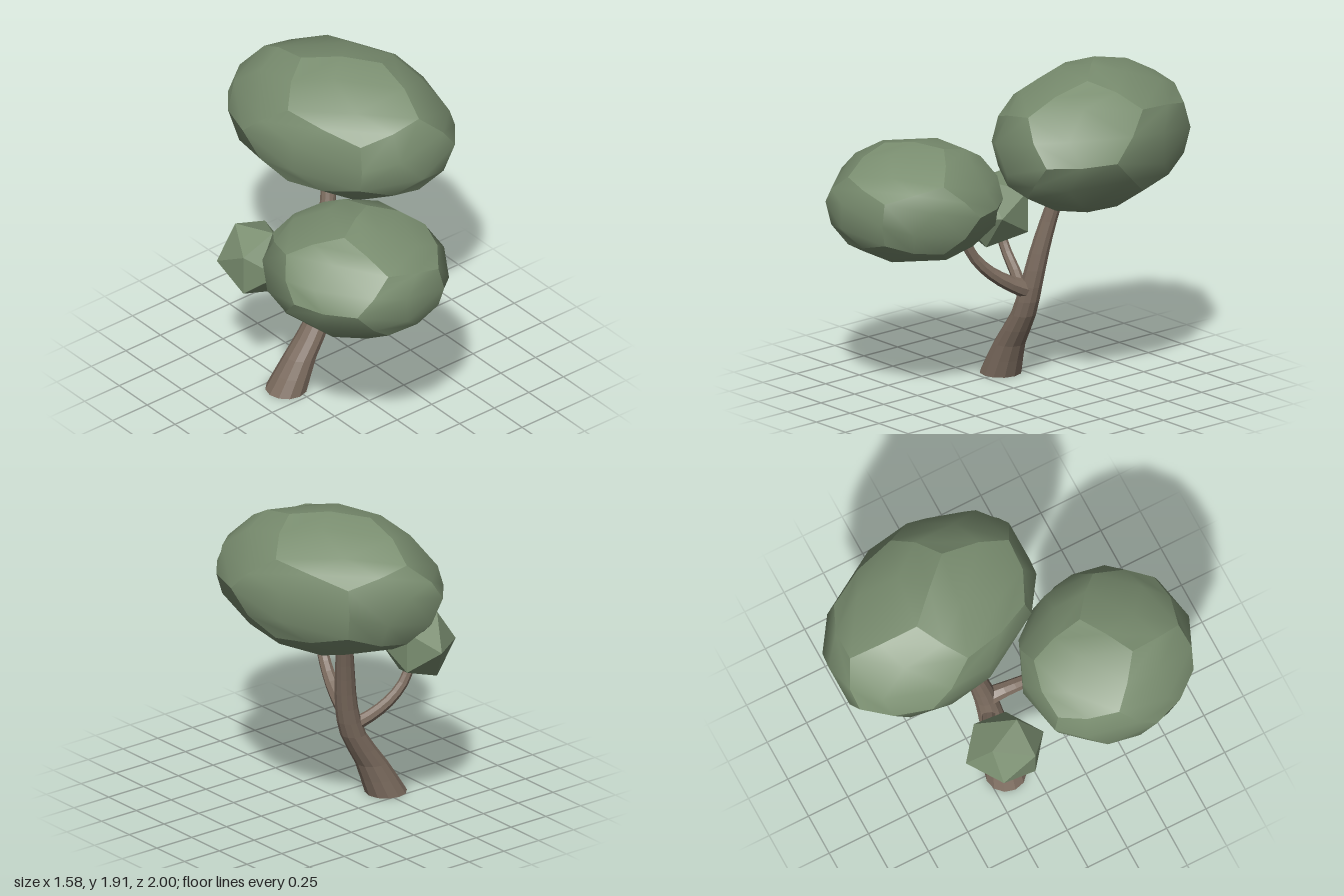
import * as THREE from 'three';
import { mergeGeometries, mergeVertices } from 'three/addons/utils/BufferGeometryUtils.js';

const leaf = new THREE.MeshStandardMaterial({ color: 0x7a8e70 });
const leafFlat = new THREE.MeshStandardMaterial({ color: 0x7a8e70, flatShading: true });
const bark = new THREE.MeshStandardMaterial({ color: 0x7c6c5f, flatShading: true });
const V = (x, y, z) => new THREE.Vector3(x, y, z);

function part(name, geometry, material) {
  const mesh = new THREE.Mesh(geometry, material);
  mesh.name = name;
  return mesh;
}

// Tapered limb: a cylinder bent along points [x, y, z, radius]
function limb(name, points, sides, segments, ref, levelRings = false) {
  const curve = new THREE.CatmullRomCurve3(points.map(([x, y, z]) => V(x, y, z)));
  const radiusAt = (t) => {
    const f = t * (points.length - 1);
    const i = Math.min(Math.floor(f), points.length - 2);
    return THREE.MathUtils.lerp(points[i][3], points[i + 1][3], f - i);
  };
  const geo = new THREE.CylinderGeometry(1, 1, 1, sides, segments);
  const pos = geo.attributes.position;
  for (let i = 0; i < pos.count; i++) {
    const t = THREE.MathUtils.clamp(pos.getY(i) + 0.5, 0, 1);
    const tangent = levelRings ? V(0, 1, 0) : curve.getTangent(t);
    const b = tangent.clone().cross(ref).normalize();
    const n = b.clone().cross(tangent);
    const r = radiusAt(t);
    const p = curve.getPoint(t).addScaledVector(n, pos.getX(i) * r).addScaledVector(b, -pos.getZ(i) * r);
    pos.setXYZ(i, p.x, p.y, p.z);
  }
  geo.computeVertexNormals();
  return part(name, geo, bark);
}

// Turned and stretched blob: [x, z] gives the horizontal axes, height the vertical one
function place(geo, centre, xAxis, height, zAxis) {
  const m = new THREE.Matrix4().makeBasis(V(xAxis[0], 0, xAxis[1]), V(0, height, 0), V(zAxis[0], 0, zAxis[1]));
  return geo.applyMatrix4(m.setPosition(centre));
}

// Rounded dodecahedron, smooth inside each five-sided patch and creased between patches
function crown(name, ...placing) {
  const source = place(new THREE.DodecahedronGeometry(1, 1), ...placing).attributes.position.array;
  const size = source.length / 12;
  const patches = [];
  for (let i = 0; i < 12; i++) {
    let patch = new THREE.BufferGeometry();
    patch.setAttribute('position', new THREE.BufferAttribute(source.slice(i * size, (i + 1) * size), 3));
    patch = mergeVertices(patch, 1e-4);
    patch.computeVertexNormals();
    patches.push(patch);
  }
  return part(name, mergeGeometries(patches), leaf);
}

export function createModel() {
  const tree = new THREE.Group();
  tree.name = 'tree';

  // Trunk and branches
  tree.add(limb('trunk', [
    [-0.28, 0, -0.145, 0.12],
    [-0.185, 0.2, -0.13, 0.092],
    [-0.06, 0.4, -0.125, 0.074],
    [-0.005, 0.58, -0.135, 0.065],
    [0.03, 0.78, -0.165, 0.058],
    [0.065, 0.97, -0.205, 0.05],
    [0.11, 1.17, -0.25, 0.043],
  ], 12, 12, V(1, 0, 0), true));
  tree.add(limb('frontBranch', [
    [-0.015, 0.56, -0.11, 0.055],
    [-0.035, 0.605, -0.01, 0.044],
    [-0.07, 0.685, 0.11, 0.037],
    [-0.1, 0.78, 0.2, 0.033],
    [-0.115, 0.88, 0.255, 0.03],
  ], 8, 8, V(1, 0, 0)));
  tree.add(limb('sideBranch', [
    [-0.05, 0.45, -0.13, 0.04],
    [-0.14, 0.505, -0.18, 0.036],
    [-0.24, 0.58, -0.22, 0.033],
    [-0.33, 0.67, -0.235, 0.03],
    [-0.38, 0.76, -0.235, 0.028],
  ], 8, 8, V(0, 0, 1)));

  // Foliage
  tree.add(crown('upperCrown', V(0.275, 1.495, -0.338), [-0.45, -0.46], 0.415, [0.265, -0.51]));
  tree.add(crown('frontCrown', V(-0.29, 1.142, 0.488), [0.43, -0.245], 0.343, [0.265, 0.465]));
  const tuft = place(new THREE.IcosahedronGeometry(1, 0), V(-0.44, 0.905, -0.235), [0.1, 0.2], 0.23, [-0.195, 0.128]);
  tree.add(part('sideTuft', tuft, leafFlat));
  return tree;
}
